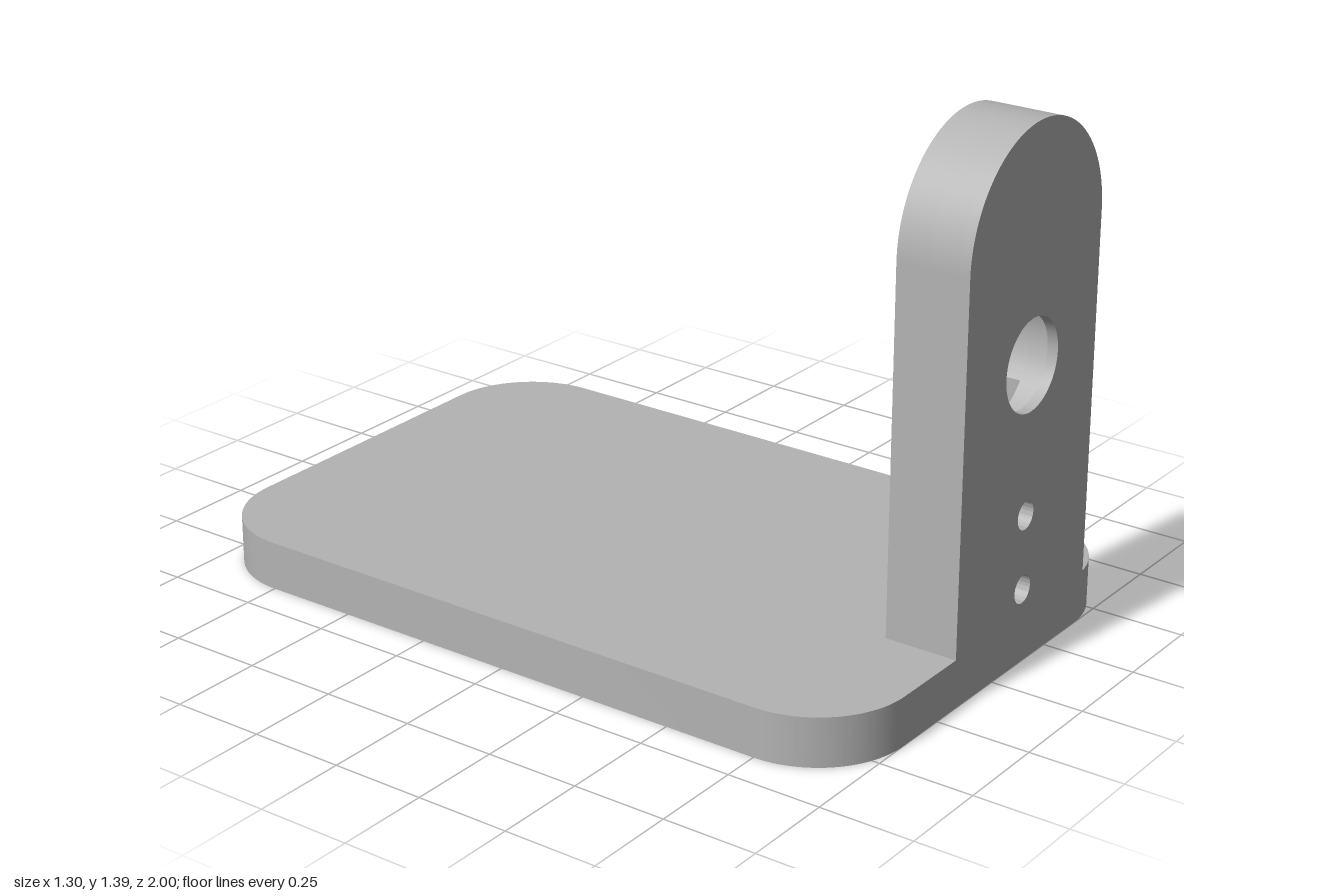
import * as THREE from 'three';
import { toCreasedNormals } from 'three/addons/utils/BufferGeometryUtils.js';

const BASE_TOP = 0.13;
const CENTRE_X = 0.13;           // the upright sits off centre
const HALF = 0.303, ARC_Y = 1.09; // upright half width and centre of its round top
const BORE_Y = 0.785, BORE_R = 0.12, COUNTERBORE_R = 0.178;
const SLOT_HALF = 0.139;

function extrude(shape, depth) {
  const geo = new THREE.ExtrudeGeometry(shape, { depth, bevelEnabled: false, curveSegments: 40 });
  return toCreasedNormals(geo, 0.5);
}

function addHole(shape, y, r) {
  const hole = new THREE.Path();
  hole.absarc(0, y, r, 0, Math.PI * 2, true);
  shape.holes.push(hole);
}

// Round-topped outline; the slotted one has a keyhole opening at its foot
function uprightShape(slotted) {
  const s = new THREE.Shape();
  s.moveTo(-HALF, BASE_TOP);
  if (slotted) {
    const drop = Math.sqrt(COUNTERBORE_R ** 2 - SLOT_HALF ** 2);
    s.lineTo(-SLOT_HALF, BASE_TOP);
    s.lineTo(-SLOT_HALF, BORE_Y - drop);
    s.absarc(0, BORE_Y, COUNTERBORE_R, Math.atan2(-drop, -SLOT_HALF), Math.atan2(-drop, SLOT_HALF), true);
    s.lineTo(SLOT_HALF, BASE_TOP);
  }
  s.lineTo(HALF, BASE_TOP);
  s.lineTo(HALF, ARC_Y);
  s.absarc(0, ARC_Y, HALF, 0, Math.PI, false);
  s.closePath();
  return s;
}

export function createModel() {
  const model = new THREE.Group();
  model.name = 'mountingBracket';
  const grey = new THREE.MeshStandardMaterial({ color: 0xb3b3b3 });
  grey.name = 'plain grey';

  // Base plate with rounded corners
  const w = 0.65, l = 1, r = 0.25;
  const plate = new THREE.Shape();
  plate.absarc(w - r, l - r, r, 0, Math.PI / 2);
  plate.absarc(-w + r, l - r, r, Math.PI / 2, Math.PI);
  plate.absarc(-w + r, -l + r, r, Math.PI, Math.PI * 1.5);
  plate.absarc(w - r, -l + r, r, Math.PI * 1.5, Math.PI * 2);
  plate.closePath();
  const base = new THREE.Mesh(extrude(plate, BASE_TOP).rotateX(-Math.PI / 2), grey);
  base.name = 'basePlate';
  model.add(base);

  // Upright in three layers: slot at the back, counterbore, then the front face
  const upright = new THREE.Group();
  upright.name = 'upright';
  upright.position.x = CENTRE_X;
  model.add(upright);
  const layers = [
    { name: 'slottedBack', z0: 0.803, z1: 0.89, slotted: true },
    { name: 'counterboredCore', z0: 0.89, z1: 0.972, bore: COUNTERBORE_R },
    { name: 'frontFace', z0: 0.972, z1: 1, bore: BORE_R },
  ];
  for (const { name, z0, z1, slotted, bore } of layers) {
    const shape = uprightShape(slotted);
    if (bore) {
      addHole(shape, BORE_Y, bore);
      for (const y of [0.395, 0.198]) addHole(shape, y, 0.037); // screw holes
    }
    const mesh = new THREE.Mesh(extrude(shape, z1 - z0), grey);
    mesh.name = name;
    mesh.position.z = z0;
    upright.add(mesh);
  }
  return model;
}
